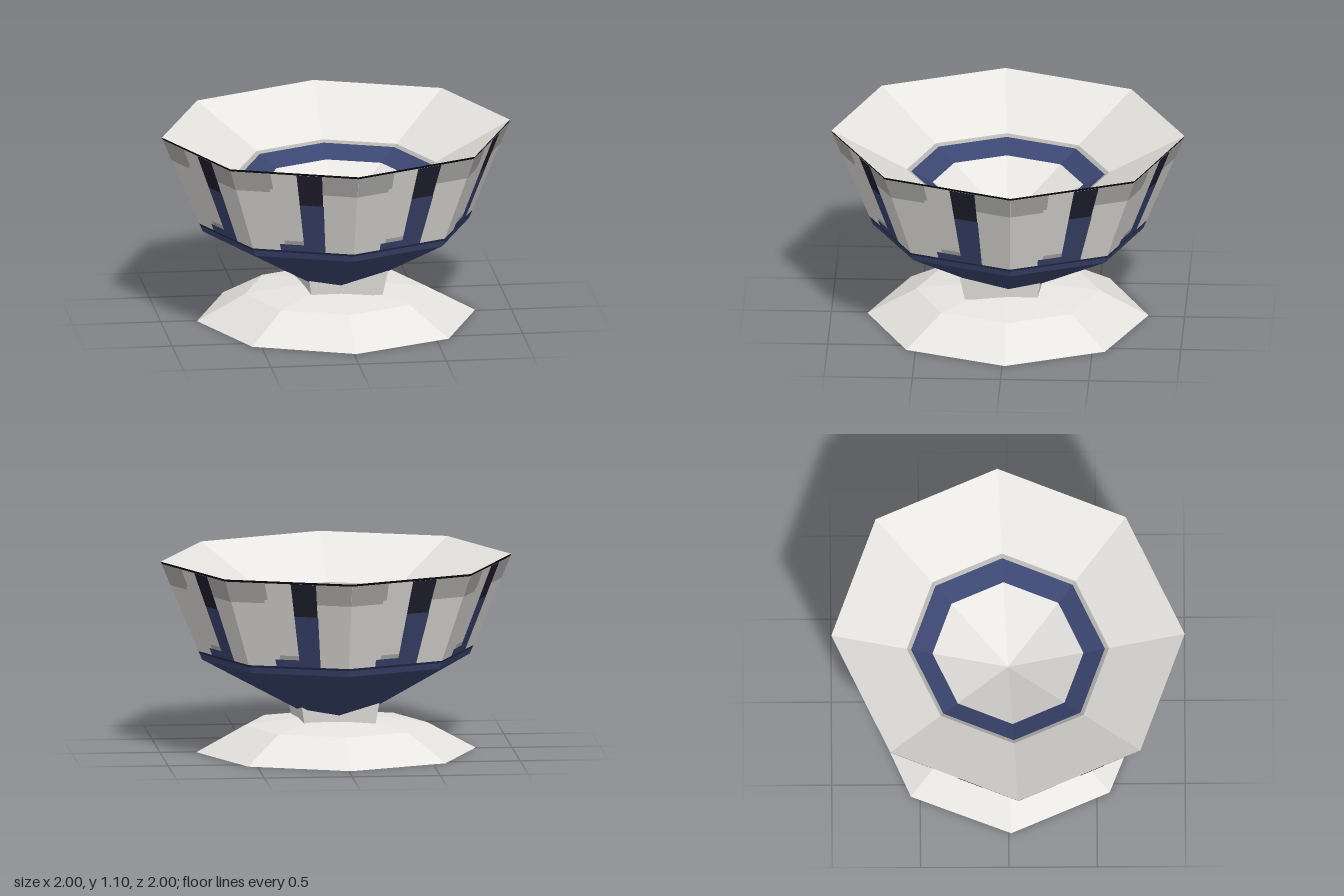
import * as THREE from 'three';

const mat = (name, color) => new THREE.MeshStandardMaterial({ name, color, side: THREE.DoubleSide, flatShading: true });

// Slightly irregular octagon of the bowl, ordered left to right as seen from outside
const half = [[0, 1], [0.705, 0.67], [1, -0.055], [0.7, -0.745]];
const bowlOutline = [...half, ...half.map(([x, z]) => [-x, -z])];
const footOutline = Array.from({ length: 8 }, (_, i) => {
  const a = THREE.MathUtils.degToRad(44 - i * 45);
  return [Math.cos(a), Math.sin(a)];
});
const stemOutline = [[-0.17, 0.2], [0.24, 0.24], [0.2, -0.18], [-0.21, -0.21]];

// Flat-faced geometry from quads given as four corner vectors
function quads(list) {
  const pos = [];
  for (const [a, b, c, d] of list) {
    for (const p of [a, b, c, a, c, d]) pos.push(p.x, p.y, p.z);
  }
  const g = new THREE.BufferGeometry();
  g.setAttribute('position', new THREE.Float32BufferAttribute(pos, 3));
  g.computeVertexNormals();
  return g;
}

// Sweep an outline through a profile of [scale, y] steps
function loft(outline, profile) {
  const at = (i, [s, y]) => {
    const [x, z] = outline[i % outline.length];
    return new THREE.Vector3(x * s, y, z * s);
  };
  const list = [];
  for (let k = 0; k + 1 < profile.length; k++) {
    for (let i = 0; i < outline.length; i++) {
      list.push([at(i, profile[k]), at(i + 1, profile[k]), at(i + 1, profile[k + 1]), at(i, profile[k + 1])]);
    }
  }
  return quads(list);
}

const RIM = 1.1, SHOULDER = 0.535, LOW = 0.765, APEX = 0.57;
const wallScale = y => LOW + (1 - LOW) * (y - SHOULDER) / (RIM - SHOULDER);
const wall = y => [wallScale(y), y];
const inside = s => [s, APEX + (RIM - APEX) * s];

// The same painted patch on all eight wall faces; t runs along the face, y up it
function wallPatch(t0, t1, y0, y1, lift) {
  const list = bowlOutline.map(([ax, az], i) => {
    const [bx, bz] = bowlOutline[(i + 1) % 8];
    const n = new THREE.Vector3(-(bz - az), 0, bx - ax).normalize().multiplyScalar(lift);
    const p = (t, y) => {
      const s = wallScale(y);
      return new THREE.Vector3((ax + (bx - ax) * t) * s, y, (az + (bz - az) * t) * s).add(n);
    };
    return [p(t0, y0), p(t1, y0), p(t1, y1), p(t0, y1)];
  });
  return quads(list);
}

export function createModel() {
  const root = new THREE.Group();
  root.name = 'footedBowl';
  const stone = mat('pale stone', 0xeceae6);
  const grey = mat('shadow grey', 0xb6b5b2);
  const navy = mat('navy', 0x3c4772);
  const deepNavy = mat('deep navy', 0x262c4c);
  const ink = mat('ink', 0x222132);
  const black = mat('rim black', 0x0c0c12);
  const add = (name, geometry, material) => {
    const m = new THREE.Mesh(geometry, material);
    m.name = name;
    root.add(m);
  };

  // Foot: a hollow faceted shell with a square stem
  add('foot', loft(footOutline, [[0.795, 0], [0.52, 0.15], [0.21, 0.19], [0, 0.19]]), stone);
  add('stem', loft(stemOutline, [[0.98, 0.178], [1.12, 0.36]]), stone);

  // Outside of the bowl
  add('bowlUnderside', loft(bowlOutline, [[0, 0.12], [LOW, SHOULDER]]), navy);
  add('shoulderBand', loft(bowlOutline, [wall(SHOULDER), wall(0.57)]), navy);
  add('shoulderLine', loft(bowlOutline, [wall(0.57), wall(0.583)]), deepNavy);
  add('bowlWall', loft(bowlOutline, [wall(0.583), wall(1.087)]), stone);
  add('rimLine', loft(bowlOutline, [wall(1.087), wall(RIM)]), black);

  // Inside of the bowl
  add('innerWall', loft(bowlOutline, [inside(1), inside(0.572)]), stone);
  add('innerGreyRing', loft(bowlOutline, [inside(0.572), inside(0.548)]), grey);
  add('innerNavyRing', loft(bowlOutline, [inside(0.548), inside(0.427)]), navy);
  add('bowlCentre', loft(bowlOutline, [inside(0.427), inside(0)]), stone);

  // Painted decoration repeated on each wall face
  add('upperGreyLeft', wallPatch(0, 0.28, 0.965, 1.087, 0.002), grey);
  add('upperGreyLeftEnd', wallPatch(0.28, 0.31, 0.985, 1.087, 0.002), grey);
  add('upperGreyRight', wallPatch(0.715, 1, 0.965, 1.087, 0.002), grey);
  add('stripe', wallPatch(0.515, 0.72, 0.583, 0.89, 0.003), navy);
  add('stripeTop', wallPatch(0.515, 0.715, 0.89, 1.087, 0.003), ink);
  add('stripeStep', wallPatch(0.28, 0.515, 0.583, 0.625, 0.003), navy);
  add('stripeStepShadow', wallPatch(0.33, 0.515, 0.625, 0.65, 0.003), grey);
  return root;
}
